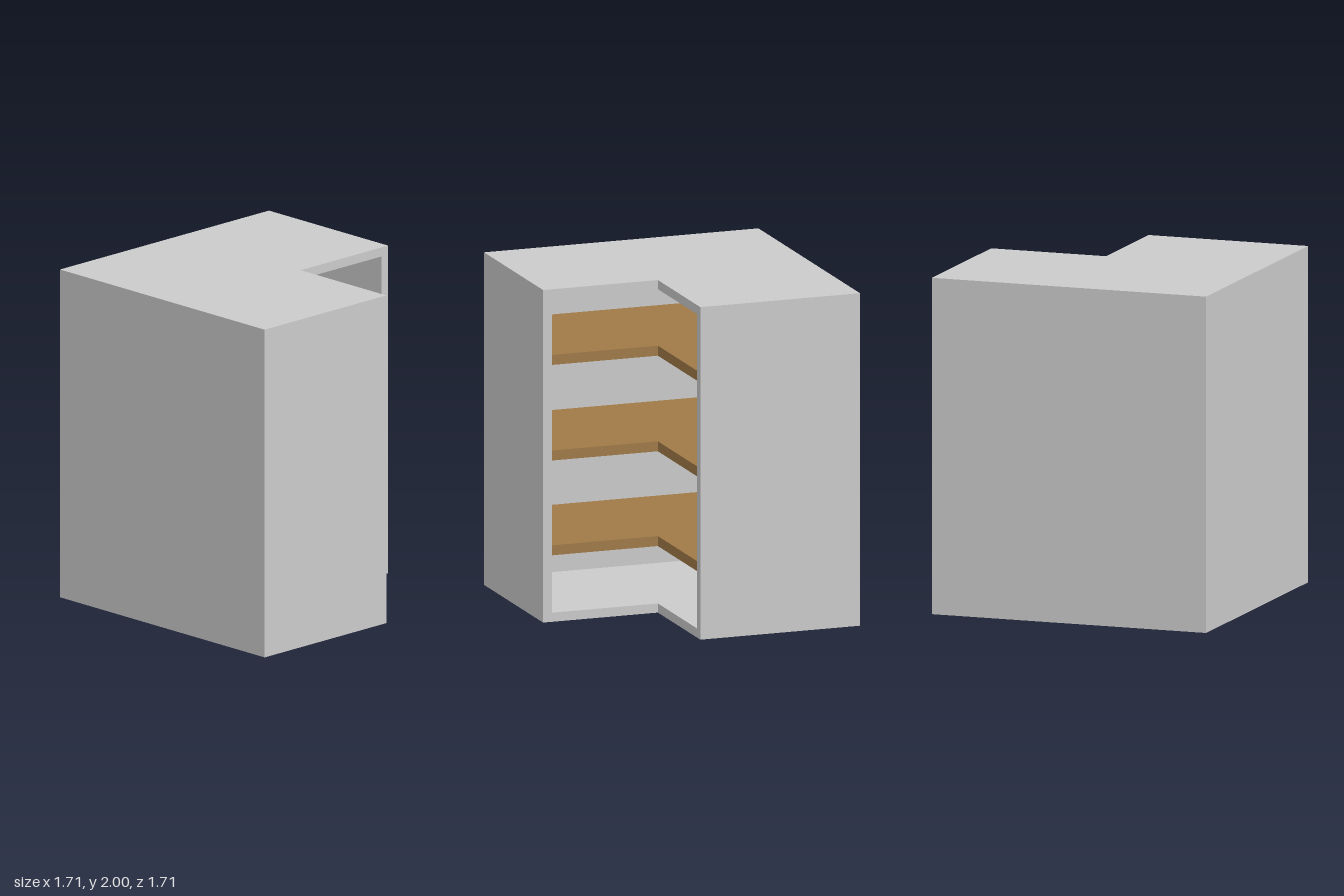
import * as THREE from 'three';

const H = 2, R = 0.855, N = 0.14, T = 0.055, I = R - T;

const grey = new THREE.MeshStandardMaterial({ color: 0xcccccc });
const wood = new THREE.MeshStandardMaterial({ color: 0xa07a48 });

// L-shaped plan with the notch at the front left corner, reaching out to `r`
const lPlan = (r) => [[-r, -r], [r, -r], [r, N], [N, N], [N, r], [-r, r]];

// Wall band: follows the outside of the L, open along the notch
const wallPlan = [
  [R, N], [I, N], [I, -I], [-I, -I], [-I, I], [N, I],
  [N, R], [-R, R], [-R, -R], [R, -R],
];

// Extrudes an (x, z) plan upwards from y0 to y1
function slab(name, plan, y0, y1, material) {
  const shape = new THREE.Shape(plan.map(([x, z]) => new THREE.Vector2(x, z)));
  const geometry = new THREE.ExtrudeGeometry(shape, { depth: y1 - y0, bevelEnabled: false });
  geometry.rotateX(Math.PI / 2).translate(0, y1, 0);
  const mesh = new THREE.Mesh(geometry, material);
  mesh.name = name;
  return mesh;
}

export function createModel() {
  const cabinet = new THREE.Group();
  cabinet.name = 'cornerCabinet';

  // Carcass
  cabinet.add(
    slab('bottomPanel', lPlan(R), 0, T, grey),
    slab('walls', wallPlan, T, H - T, grey),
    slab('topPanel', lPlan(R), H - T, H, grey),
  );

  // Three wooden shelves, evenly spaced about the middle
  const shelves = new THREE.Group();
  shelves.name = 'shelves';
  [0.43, 1.0, 1.575].forEach((y, i) => {
    shelves.add(slab(`shelf${i + 1}`, lPlan(I), y - 0.03, y + 0.03, wood));
  });
  cabinet.add(shelves);

  return cabinet;
}
